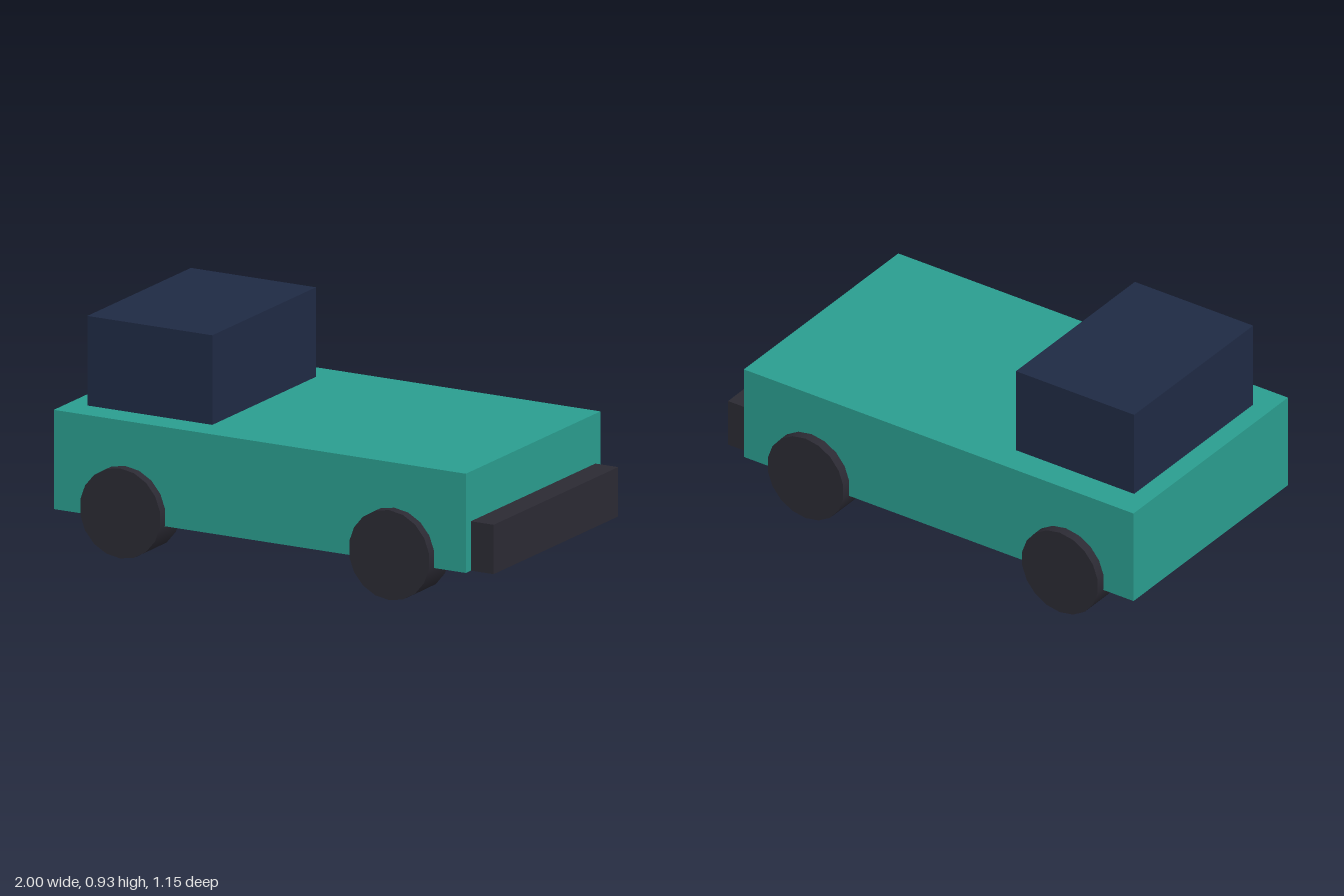
import * as THREE from 'three';

const material = (name, color) => {
  const m = new THREE.MeshStandardMaterial({ color });
  m.name = name;
  return m;
};

export function createModel() {
  const teal = material('teal paint', 0x2a9d8f);
  const navy = material('navy cab', 0x1f2a44);
  const charcoal = material('charcoal rubber', 0x2b2a33);

  const truck = new THREE.Group();
  truck.name = 'truck';

  // Box spanning x0..x1 and y0..y1, centred on z = 0
  const addBox = (name, x0, x1, y0, y1, depth, mat) => {
    const mesh = new THREE.Mesh(new THREE.BoxGeometry(x1 - x0, y1 - y0, depth), mat);
    mesh.name = name;
    mesh.position.set((x0 + x1) / 2, (y0 + y1) / 2, 0);
    truck.add(mesh);
  };

  addBox('body', -1, 0.895, 0.148, 0.558, 1.07, teal);
  addBox('cab', -0.917, -0.342, 0.558, 0.928, 0.824, navy);
  addBox('bumper', 0.895, 1, 0.148, 0.352, 0.99, charcoal);

  // Four wheels with their axles along z
  const radius = 0.186;
  const wheelGeometry = new THREE.CylinderGeometry(radius, radius, 0.165, 18).rotateX(Math.PI / 2);
  for (const [end, x] of [['rear', -0.671], ['front', 0.566]]) {
    for (const [side, z] of [['Near', 0.494], ['Far', -0.494]]) {
      const wheel = new THREE.Mesh(wheelGeometry, charcoal);
      wheel.name = `${end}Wheel${side}`;
      wheel.position.set(x, radius, z);
      truck.add(wheel);
    }
  }

  return truck;
}
